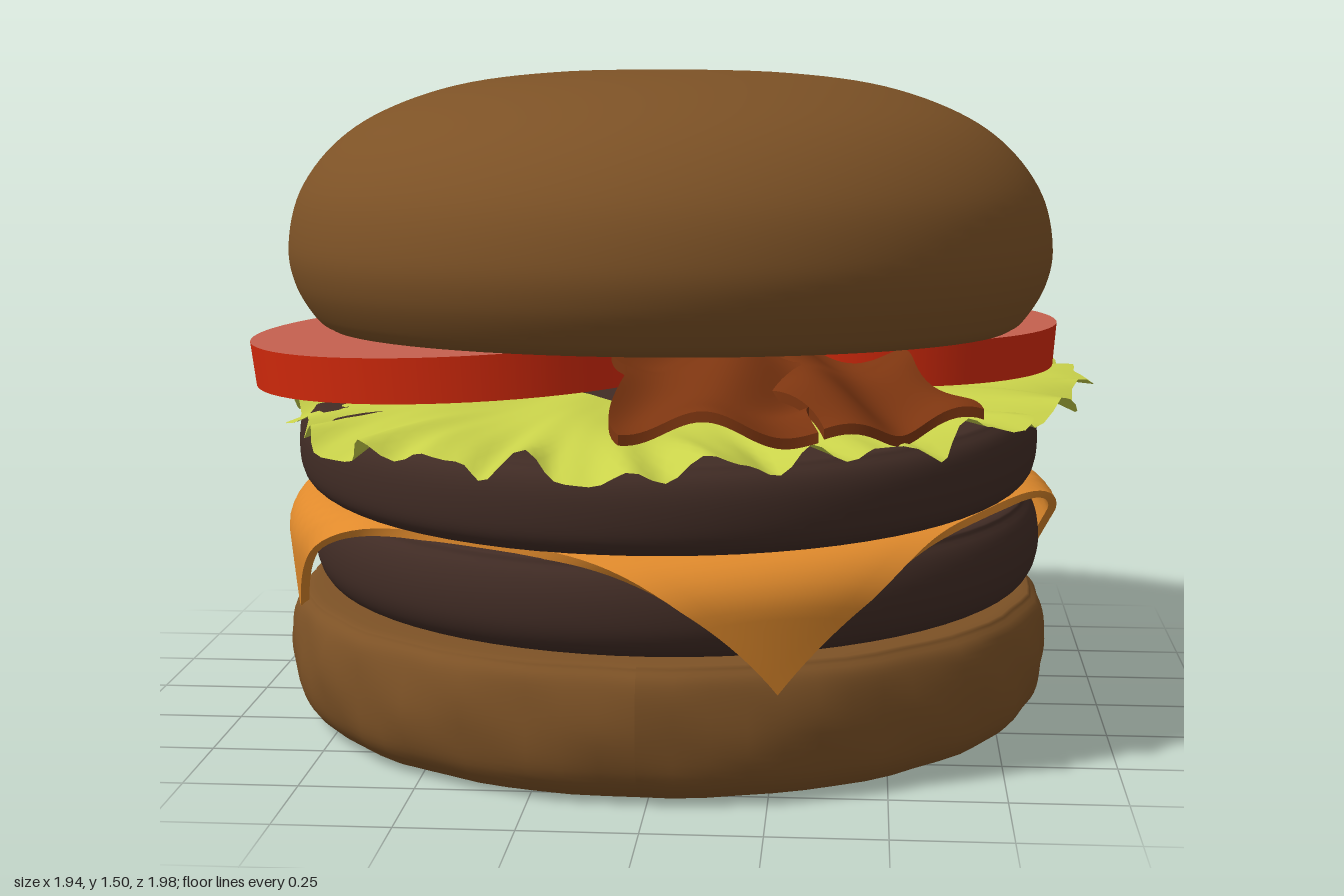
import * as THREE from 'three';

const mat = (name, color, side = THREE.FrontSide) => {
  const m = new THREE.MeshStandardMaterial({ color, side });
  m.name = name;
  return m;
};

const part = (name, geometry, material, x, y, z, rx = 0, ry = 0, rz = 0) => {
  const m = new THREE.Mesh(geometry, material);
  m.name = name;
  m.position.set(x, y, z);
  m.rotation.set(rx, ry, rz);
  return m;
};

// Move every vertex of a geometry by a rule, then refresh its normals
function warp(geometry, rule) {
  const p = geometry.attributes.position, v = new THREE.Vector3();
  for (let i = 0; i < p.count; i++) {
    rule(v.fromBufferAttribute(p, i));
    p.setXYZ(i, v.x, v.y, v.z);
  }
  geometry.computeVertexNormals();
  return geometry;
}

// Solid of revolution through smoothed [radius, y] points, bottom to top
function turned(points, steps = 40) {
  const curve = new THREE.SplineCurve(points.map(([r, y]) => new THREE.Vector2(r, y)));
  const pts = curve.getPoints(steps).map((p) => new THREE.Vector2(Math.max(p.x, 0), p.y));
  return new THREE.LatheGeometry([new THREE.Vector2(0, pts[0].y), ...pts], 72);
}

// Square slice whose corners fold down over a round edge
function cheeseGeometry() {
  const R = 0.81, bend = 0.09, turn = THREE.MathUtils.degToRad(27);
  return warp(new THREE.BoxGeometry(1.61, 0.02, 1.61, 48, 1, 48), (v) => {
    const rho = Math.hypot(v.x, v.z), phi = Math.atan2(v.z, v.x) + turn;
    const d = Math.max(0, rho - R), s = v.y;
    const a = Math.min(d / bend, Math.PI / 2);
    const rest = Math.max(0, d - bend * Math.PI / 2);
    const r = Math.min(rho, R) + bend * Math.sin(a) - 0.1 * rest + s * Math.sin(a);
    const y = -bend * (1 - Math.cos(a)) - rest + s * Math.cos(a);
    v.set(r * Math.cos(phi), y, r * Math.sin(phi));
  });
}

// Leaf disc with an uneven outline and ruffles growing toward the rim
function lettuceGeometry() {
  const radii = [0.95, 0.92, 0.91, 0.88, 0.98, 0.92, 0.95, 0.90, 0.88, 0.90, 0.93, 0.95, 0.98, 0.94, 0.93, 0.92];
  return warp(new THREE.RingGeometry(0.3, 1, 240, 14), (v) => {
    const a = Math.atan2(v.y, v.x), t = (Math.hypot(v.x, v.y) - 0.3) / 0.7;
    const k = ((a / (2 * Math.PI) + 1) % 1) * 16, i = Math.floor(k);
    const f = (1 - Math.cos((k - i) * Math.PI)) / 2;
    const edge = radii[i % 16] * (1 - f) + radii[(i + 1) % 16] * f
      + 0.012 * Math.sin(37 * a) + 0.012 * Math.sin(23 * a + 1);
    const r = 0.3 + (edge - 0.3) * t;
    const ruffle = 0.016 * Math.sin(29 * a + 5 * t) + 0.012 * Math.sin(17 * a + 2) + 0.008 * Math.sin(47 * a + 9 * t);
    const y = t ** 4 * ruffle * 1.2 + 0.006 * Math.sin(9 * a + 8 * t) - 0.025 * t ** 6;
    v.set(r * Math.cos(a), y, r * Math.sin(a));
  });
}

// Crinkled strip, sloping down toward its outer end at local z = 0
function baconGeometry(width, seed) {
  return warp(new THREE.BoxGeometry(width, 0.022, 0.45, 28, 1, 28), (v) => {
    const { x, z } = v;
    const t = z / 0.45 + 0.5;
    v.y += 0.022 * Math.sin(21 * x + 5 * z + seed) + 0.014 * Math.sin(25 * z + 9 * x + seed * 2)
      - 0.12 * t ** 1.5 - 0.06 * x;
    v.x += 0.018 * Math.sin(24 * z + seed);
    v.z += -0.225 + 0.018 * Math.sin(19 * x + seed) * t;
  });
}

export function createModel() {
  const model = new THREE.Group();
  model.name = 'cheeseburger';

  const bun = mat('bun brown', 0x7d5226);
  const meat = mat('patty brown', 0x412c25);
  const cheese = mat('cheese orange', 0xe08a2c);
  const leaf = mat('lettuce green', 0xc9d24a, THREE.DoubleSide);
  const skin = mat('tomato skin red', 0xd62a0c);
  const flesh = mat('tomato flesh pink', 0xc4604e);
  const rasher = mat('bacon brown', 0x7c3510);

  // Bottom bun with a slightly lumpy side
  const base = turned([[0.78, 0.008], [0.83, 0.02], [0.875, 0.07], [0.893, 0.16], [0.885, 0.25], [0.86, 0.295], [0.8, 0.31], [0.4, 0.315], [0, 0.315]]);
  warp(base, (v) => {
    const a = Math.atan2(v.z, v.x), r = Math.hypot(v.x, v.z);
    if (r < 0.8) return;
    const k = 1 + 0.003 * Math.sin(14 * a + 20 * v.y) + 0.003 * Math.sin(23 * a - 30 * v.y);
    v.x *= k;
    v.z *= k;
  });
  model.add(part('bottomBun', base, bun, -0.02, 0, -0.025));

  // Two patties, each tipped a little
  const lower = turned([[0.78, 0], [0.825, 0.02], [0.85, 0.07], [0.85, 0.14], [0.825, 0.195], [0.77, 0.215], [0.4, 0.215], [0, 0.215]]);
  const upper = turned([[0.77, 0], [0.83, 0.015], [0.86, 0.055], [0.862, 0.14], [0.835, 0.19], [0.77, 0.205], [0.4, 0.205], [0, 0.205]]);
  model.add(part('lowerPatty', lower, meat, 0, 0.322, -0.025, 0.02));
  model.add(part('upperPatty', upper, meat, -0.02, 0.555, -0.02, 0.042));

  // Cheese slice draped over the lower patty
  model.add(part('cheeseSlice', cheeseGeometry(), cheese, -0.005, 0.545, -0.025, 0.025));

  // Lettuce leaf
  model.add(part('lettuce', lettuceGeometry(), leaf, 0, 0.785, 0, 0.03, 0, 0.025));

  // Tomato slices: x, y, z, radius, tilt x, tilt z
  const slices = [
    [-0.44, 0.868, 0.12, 0.53, 0, 0.05],
    [0.465, 0.867, -0.08, 0.425, 0, 0],
    [0.1, 0.845, -0.465, 0.465, -0.04, 0],
  ];
  slices.forEach(([x, y, z, r, rx, rz], i) => {
    const disc = new THREE.CylinderGeometry(r, r - 0.008, 0.1, 64);
    model.add(part(`tomatoSlice${i + 1}`, disc, [skin, flesh, flesh], x, y, z, rx, 0, rz));
  });

  // Bacon strips poking out at the front
  model.add(part('baconStrip1', baconGeometry(0.4, 1), rasher, 0.15, 0.925, 0.9, 0, 0.08));
  model.add(part('baconStrip2', baconGeometry(0.39, 3.4), rasher, 0.515, 0.905, 0.715, 0, 0.61));

  // Domed top bun, leaning back
  const dome = turned([[0.79, 0], [0.825, 0.025], [0.87, 0.1], [0.886, 0.19], [0.86, 0.31], [0.78, 0.42], [0.66, 0.5], [0.48, 0.56], [0.25, 0.588], [0, 0.593]], 56);
  model.add(part('topBun', dome, bun, -0.015, 0.908, -0.012, -0.04));

  return model;
}
